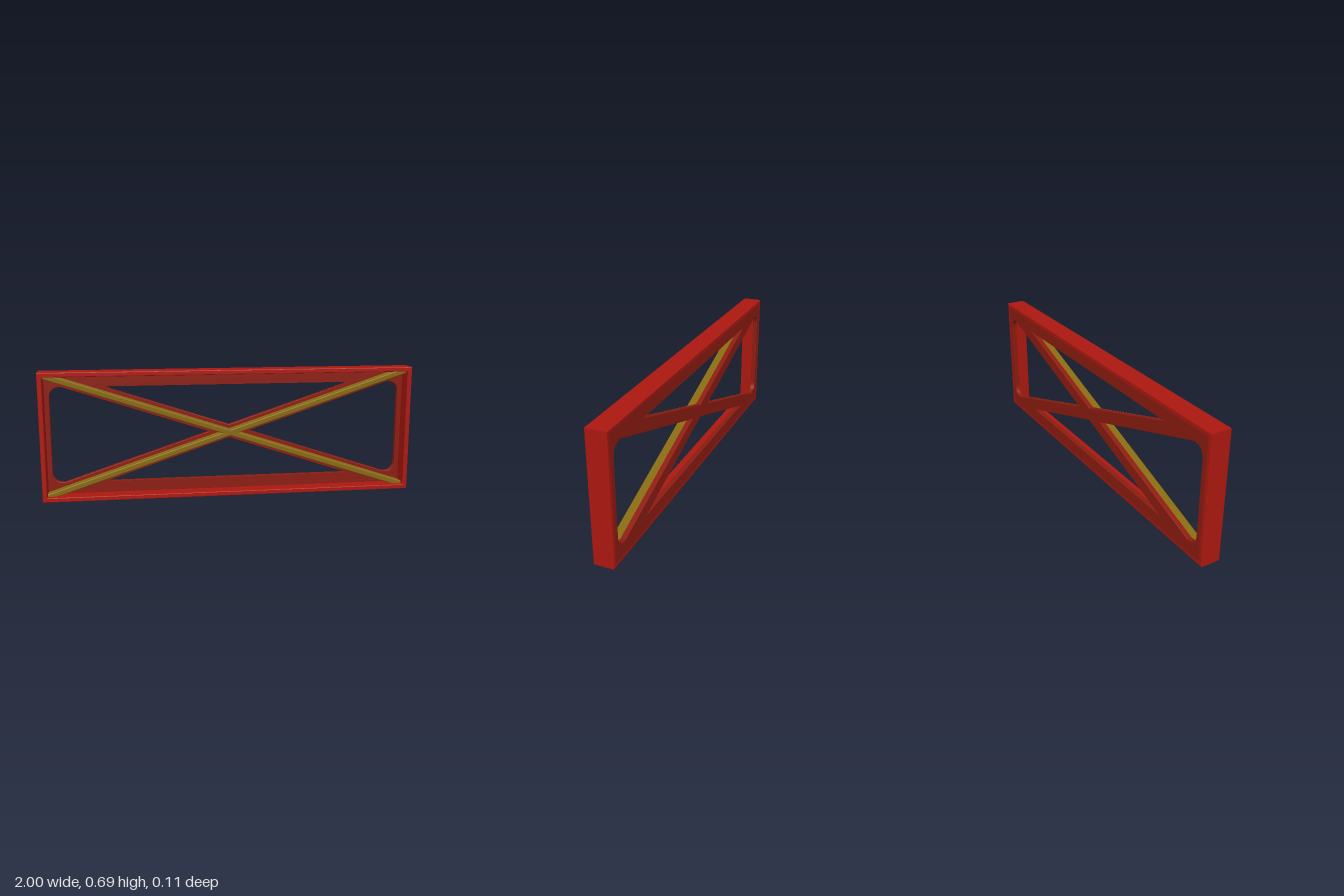
import * as THREE from 'three';
import { RoundedBoxGeometry } from 'three/addons/geometries/RoundedBoxGeometry.js';

const H = 0.686, MID = H / 2, DEPTH = 0.106, BACK = -DEPTH / 2;
const SLOPE = 0.33;        // rise of the diagonals
const BAND = 0.036;        // half height of a diagonal strip
const FLANGE_Y = 0.257;    // half height of the opening
const FLANGE_X = 0.95;     // half width of the opening

const red = new THREE.MeshStandardMaterial({ color: 0xac1810 });
const darkRed = new THREE.MeshStandardMaterial({ color: 0x8c1c10 });
const olive = new THREE.MeshStandardMaterial({ color: 0x87690f });

function rectangle(PathType, hw, hh) {
  const p = new PathType();
  p.moveTo(-hw, MID - hh);
  p.lineTo(hw, MID - hh);
  p.lineTo(hw, MID + hh);
  p.lineTo(-hw, MID + hh);
  p.closePath();
  return p;
}

// Extrude between two depths with a small softened edge
function slab(shape, z0, z1, bevel) {
  const g = new THREE.ExtrudeGeometry(shape, {
    depth: z1 - z0 - 2 * bevel, bevelEnabled: true, bevelThickness: bevel,
    bevelSize: bevel, bevelOffset: -bevel, bevelSegments: 2, curveSegments: 10,
  });
  return g.translate(0, 0, z0 + bevel);
}

// Side opening: pointed at the crossing, rounded at the outer corners
function sideOpening(s) {
  const p = new THREE.Path();
  const meet = (FLANGE_Y + BAND) / SLOPE, r = 0.06;
  p.moveTo(s * BAND / SLOPE, MID);
  p.lineTo(s * meet, MID - FLANGE_Y);
  p.quadraticCurveTo(s * FLANGE_X, MID - FLANGE_Y, s * FLANGE_X, MID - FLANGE_Y + r);
  p.lineTo(s * FLANGE_X, MID + FLANGE_Y - r);
  p.quadraticCurveTo(s * FLANGE_X, MID + FLANGE_Y, s * meet, MID + FLANGE_Y);
  p.closePath();
  return p;
}

// Upper or lower triangular opening
function longOpening(s) {
  const p = new THREE.Path();
  const w = (FLANGE_Y - BAND) / SLOPE;
  p.moveTo(0, MID + s * BAND);
  p.lineTo(w, MID + s * FLANGE_Y);
  p.lineTo(-w, MID + s * FLANGE_Y);
  p.closePath();
  return p;
}

export function createModel() {
  const group = new THREE.Group();
  const add = (name, geometry, material) => {
    const mesh = new THREE.Mesh(geometry, material);
    mesh.name = name;
    group.add(mesh);
    return mesh;
  };

  // Deep outer rim
  const rim = rectangle(THREE.Shape, 1, MID);
  rim.holes.push(rectangle(THREE.Path, 0.975, MID - 0.025));
  add('outerRim', slab(rim, BACK, -BACK, 0.004), red);

  // Back web: flanges and crossed strips left between four openings
  const web = rectangle(THREE.Shape, 0.99, MID - 0.01);
  for (const s of [-1, 1]) web.holes.push(sideOpening(s), longOpening(s));
  add('backWeb', slab(web, BACK, BACK + 0.027, 0.003), darkRed);

  // Stiffening ribs standing on the crossed strips
  const z0 = BACK + 0.01, z1 = 0.027;
  for (const s of [-1, 1]) {
    const rib = add(s > 0 ? 'risingRib' : 'fallingRib',
      new RoundedBoxGeometry(2.066, 0.03, z1 - z0, 2, 0.006), olive);
    rib.position.set(0, MID, (z0 + z1) / 2);
    rib.rotation.z = s * Math.atan(SLOPE);
  }
  return group;
}
